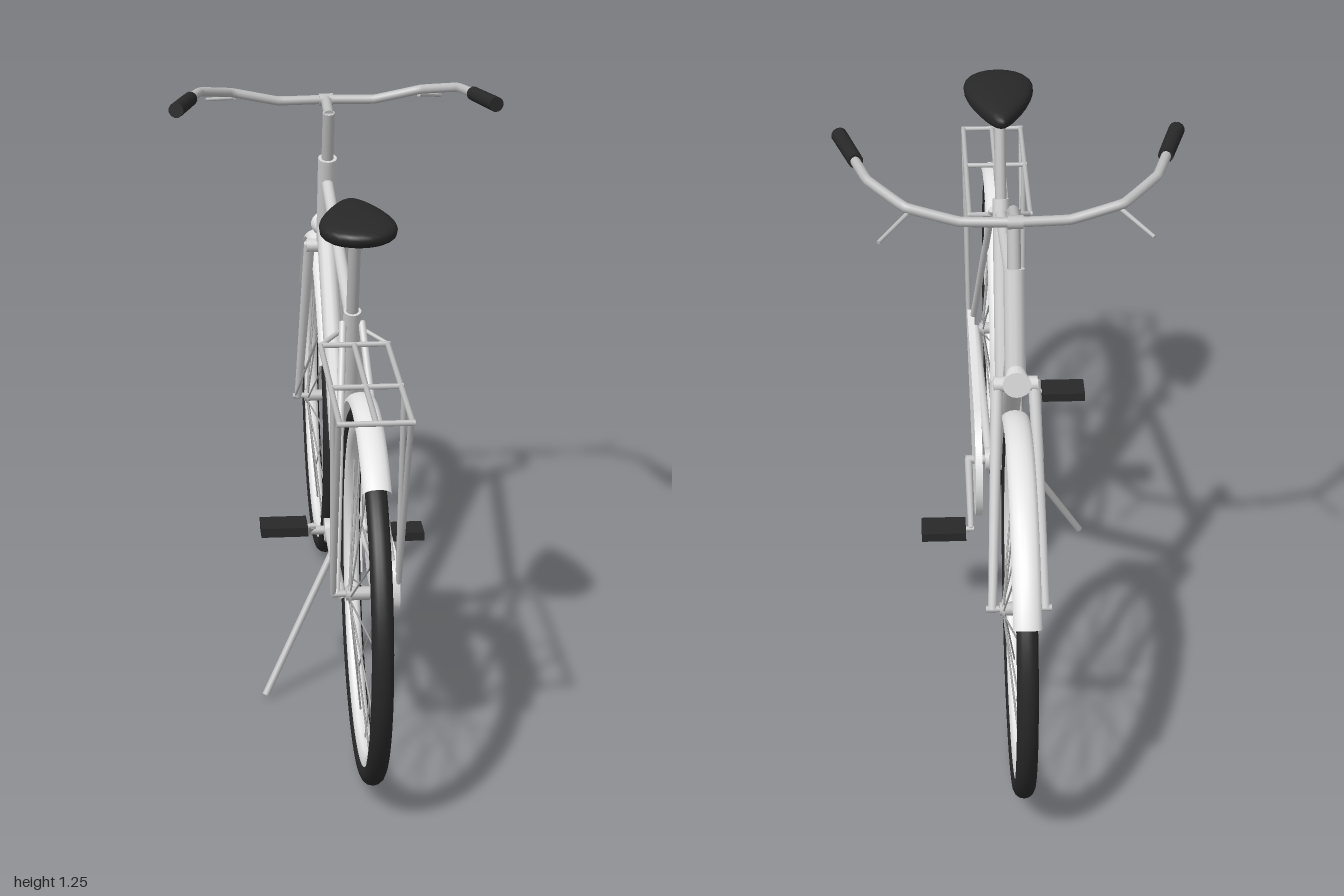
import * as THREE from 'three';

const mat = (name, color, side = THREE.FrontSide) => {
  const m = new THREE.MeshStandardMaterial({ color, side });
  m.name = name;
  return m;
};
const V = (p) => new THREE.Vector3(...p);

export function createModel() {
  const frame = mat('frame silver', 0xd2d2d2);
  const light = mat('light silver', 0xe6e6e6, THREE.DoubleSide);
  const metal = mat('grey metal', 0xbebebe);
  const wire = mat('spoke steel', 0xa6a6a6);
  const black = mat('black rubber', 0x282828);

  const model = new THREE.Group();
  model.name = 'bicycle';
  const group = (name) => {
    const g = new THREE.Group();
    g.name = name;
    model.add(g);
    return g;
  };
  const add = (parent, name, geo, m) => {
    const mesh = new THREE.Mesh(geo, m);
    mesh.name = name;
    parent.add(mesh);
    return mesh;
  };
  // Straight tube from a to b
  const rod = (parent, name, m, r, a, b, r2 = r, sides = 12) => {
    const A = V(a), d = V(b).sub(A), len = d.length();
    const geo = new THREE.CylinderGeometry(r2, r, len, sides).translate(0, len / 2, 0);
    const mesh = add(parent, name, geo, m);
    mesh.position.copy(A);
    mesh.quaternion.setFromUnitVectors(new THREE.Vector3(0, 1, 0), d.normalize());
    return mesh;
  };
  // Lathe turned so its axis runs along x; angle 0 is +z, 90 degrees is up
  const spin = (profile, segs, start = 0, sweep = 360) =>
    new THREE.LatheGeometry(profile.map(([r, x]) => new THREE.Vector2(r, x)), segs,
      THREE.MathUtils.degToRad(start), THREE.MathUtils.degToRad(sweep)).rotateZ(Math.PI / 2);

  const HUB_Y = 0.388, REAR = 0.613, FRONT = -0.613;
  const BB = [0.1, 0.32]; // bottom bracket z, y

  // Wheels
  const buildWheel = (name, z) => {
    const g = group(name);
    g.position.set(0, HUB_Y, z);
    add(g, 'tyre', new THREE.TorusGeometry(0.366, 0.0215, 14, 72).rotateY(Math.PI / 2), black);
    add(g, 'rim', spin([[0.35, -0.016], [0.335, -0.016], [0.325, -0.008], [0.325, 0.008],
      [0.335, 0.016], [0.35, 0.016]], 72), light);
    rod(g, 'hub', metal, 0.014, [-0.04, 0, 0], [0.04, 0, 0]);
    rod(g, 'axle', metal, 0.007, [-0.068, 0, 0], [0.068, 0, 0]);
    for (const s of [-1, 1]) rod(g, 'hubFlange', metal, 0.02, [s * 0.03, 0, 0], [s * 0.035, 0, 0]);
    // Spokes leave the flanges at a slight slant
    for (let i = 0; i < 20; i++) {
      const a = (i / 20) * Math.PI * 2, s = i % 2 ? 1 : -1, b = a + s * 0.7;
      rod(g, 'spoke', wire, 0.002, [s * 0.032, Math.sin(b) * 0.016, Math.cos(b) * 0.016],
        [0, Math.sin(a) * 0.328, Math.cos(a) * 0.328], 0.002, 5);
    }
  };
  buildWheel('rearWheel', REAR);
  buildWheel('frontWheel', FRONT);

  // Mudguards
  const guardProfile = [];
  for (let i = 0; i <= 8; i++) {
    const a = -Math.PI / 2 + (i / 8) * Math.PI;
    guardProfile.push([0.391 + 0.018 * Math.cos(a), 0.028 * Math.sin(a)]);
  }
  const rearGuard = add(model, 'rearMudguard', spin(guardProfile, 48, 52, 145), light);
  rearGuard.position.set(0, HUB_Y, REAR);
  const frontGuard = add(model, 'frontMudguard', spin(guardProfile, 40, 29, 123), light);
  frontGuard.position.set(0, HUB_Y, FRONT);

  // Main frame
  const f = group('frame');
  rod(f, 'seatTube', frame, 0.019, [0, BB[1], BB[0]], [0, 0.89, 0.297]);
  rod(f, 'topTube', frame, 0.0135, [0, 0.858, 0.287], [0, 0.99, -0.385]);
  rod(f, 'downTube', frame, 0.022, [0, BB[1], BB[0]], [0, 0.868, -0.42]);
  rod(f, 'headTube', frame, 0.022, [0, 0.83, -0.436], [0, 1.05, -0.37]);
  rod(f, 'bottomBracket', frame, 0.026, [-0.045, BB[1], BB[0]], [0.045, BB[1], BB[0]], 0.026, 18);
  for (const s of [-1, 1]) {
    rod(f, 'seatStay', frame, 0.008, [s * 0.02, 0.865, 0.292], [s * 0.06, HUB_Y, REAR]);
    rod(f, 'chainStay', frame, 0.01, [s * 0.035, BB[1], BB[0] + 0.01], [s * 0.05, HUB_Y, REAR]);
  }

  // Fork and front mudguard stays
  const fork = group('fork');
  rod(fork, 'forkCrown', frame, 0.016, [-0.045, 0.822, -0.44], [0.045, 0.822, -0.44]);
  for (const s of [-1, 1]) {
    rod(fork, 'forkBlade', frame, 0.013, [s * 0.038, 0.828, -0.437], [s * 0.055, HUB_Y, FRONT], 0.009);
    rod(fork, 'mudguardStay', metal, 0.003, [s * 0.062, HUB_Y, FRONT], [s * 0.027, 0.64, -0.31], 0.003, 6);
  }

  // Saddle and post
  rod(model, 'seatPost', metal, 0.013, [0, 0.87, 0.29], [0, 1.085, 0.362]);
  const saddleGeo = new THREE.SphereGeometry(1, 28, 18);
  const sp = saddleGeo.attributes.position;
  for (let i = 0; i < sp.count; i++) {
    const x = sp.getX(i), y = sp.getY(i), z = sp.getZ(i);
    const h = Math.sign(y) * Math.abs(y) ** 0.8; // fuller sides
    sp.setXYZ(i, x * 0.072 * (1 + 0.5 * z), h * (y > 0 ? 0.027 : 0.034), z * 0.148);
  }
  saddleGeo.computeVertexNormals();
  add(model, 'saddle', saddleGeo, black).position.set(0, 1.104, 0.375);

  // Stem and handlebar
  const bars = group('handlebar');
  rod(bars, 'stem', metal, 0.014, [0, 1.03, -0.376], [0, 1.165, -0.333]);
  rod(bars, 'stemExtension', metal, 0.012, [0, 1.16, -0.33], [0, 1.178, -0.418]);
  rod(bars, 'barClamp', metal, 0.014, [-0.016, 1.177, -0.417], [0.016, 1.177, -0.417]);
  const half = [[0.11, 1.177, -0.41], [0.217, 1.202, -0.393], [0.292, 1.224, -0.31],
    [0.317, 1.228, -0.225], [0.335, 1.23, -0.16]];
  const mirror = (p) => [-p[0], p[1], p[2]];
  const barPts = [...half.map(mirror).reverse(), [0, 1.177, -0.417], ...half].map(V);
  const barCurve = new THREE.CatmullRomCurve3(barPts, false, 'catmullrom', 0.1);
  add(bars, 'bar', new THREE.TubeGeometry(barCurve, 80, 0.0105, 10), metal);
  for (const side of [(p) => p, mirror]) {
    rod(bars, 'grip', black, 0.016, side([0.316, 1.228, -0.225]), side([0.351, 1.231, -0.1]), 0.017);
    rod(bars, 'brakeLever', metal, 0.005, side([0.212, 1.19, -0.393]), side([0.272, 1.168, -0.478]), 0.004, 8);
  }

  // Headlamp
  const lamp = group('headlamp');
  rod(lamp, 'lampBody', light, 0.02, [0, 0.856, -0.462], [0, 0.856, -0.507], 0.029, 18);
  rod(lamp, 'lampBracket', metal, 0.007, [0, 0.85, -0.43], [0, 0.856, -0.465]);

  // Luggage rack
  const rack = group('rack');
  const RY = 0.83, RW = 0.07, Z0 = 0.34, Z1 = 0.825;
  for (const x of [-RW, 0, RW]) rod(rack, 'rackRail', metal, 0.006, [x, RY, Z0], [x, RY, Z1], 0.006, 8);
  for (const z of [Z0, 0.61, Z1])
    rod(rack, 'rackCrossbar', metal, 0.006, [-RW - 0.005, RY, z], [RW + 0.005, RY, z], 0.006, 8);
  for (const s of [-1, 1]) {
    for (const z of [0.8, 0.665])
      rod(rack, 'rackLeg', metal, 0.006, [s * RW, RY, z], [s * 0.066, HUB_Y, REAR], 0.006, 8);
    rod(rack, 'rackLink', metal, 0.005, [s * RW, RY, Z0], [s * 0.02, 0.85, 0.295], 0.005, 8);
  }

  // Chain case: a big round end tapering to the rear hub
  const c = new THREE.Shape();
  c.moveTo(-0.6, 0.444);
  c.lineTo(-BB[0], 0.45);
  c.absarc(-BB[0], BB[1], 0.13, Math.PI / 2, -1.9, true);
  c.lineTo(-0.6, 0.345);
  c.quadraticCurveTo(-0.628, 0.35, -0.63, 0.393);
  c.quadraticCurveTo(-0.63, 0.444, -0.6, 0.444);
  const caseGeo = new THREE.ExtrudeGeometry(c, { depth: 0.016, bevelEnabled: false, curveSegments: 32 });
  add(model, 'chainCase', caseGeo.rotateY(Math.PI / 2).translate(0.054, 0, 0), light);

  // Cranks and pedals
  const drive = group('cranks');
  rod(drive, 'crankAxle', metal, 0.01, [-0.09, BB[1], BB[0]], [0.09, BB[1], BB[0]]);
  for (const s of [-1, 1]) {
    const y = BB[1] - s * 0.08, z = BB[0] - s * 0.172;
    rod(drive, 'crank', metal, 0.009, [s * 0.083, BB[1], BB[0]], [s * 0.083, y, z], 0.007);
    rod(drive, 'pedalAxle', metal, 0.006, [s * 0.076, y, z], [s * 0.11, y, z], 0.006, 8);
    add(drive, 'pedal', new THREE.BoxGeometry(0.1, 0.02, 0.07), black).position.set(s * 0.145, y, z);
  }

  // Kickstand
  rod(model, 'kickstand', metal, 0.008, [-0.025, 0.31, 0.165], [-0.188, 0.008, 0.28]);

  return model;
}
